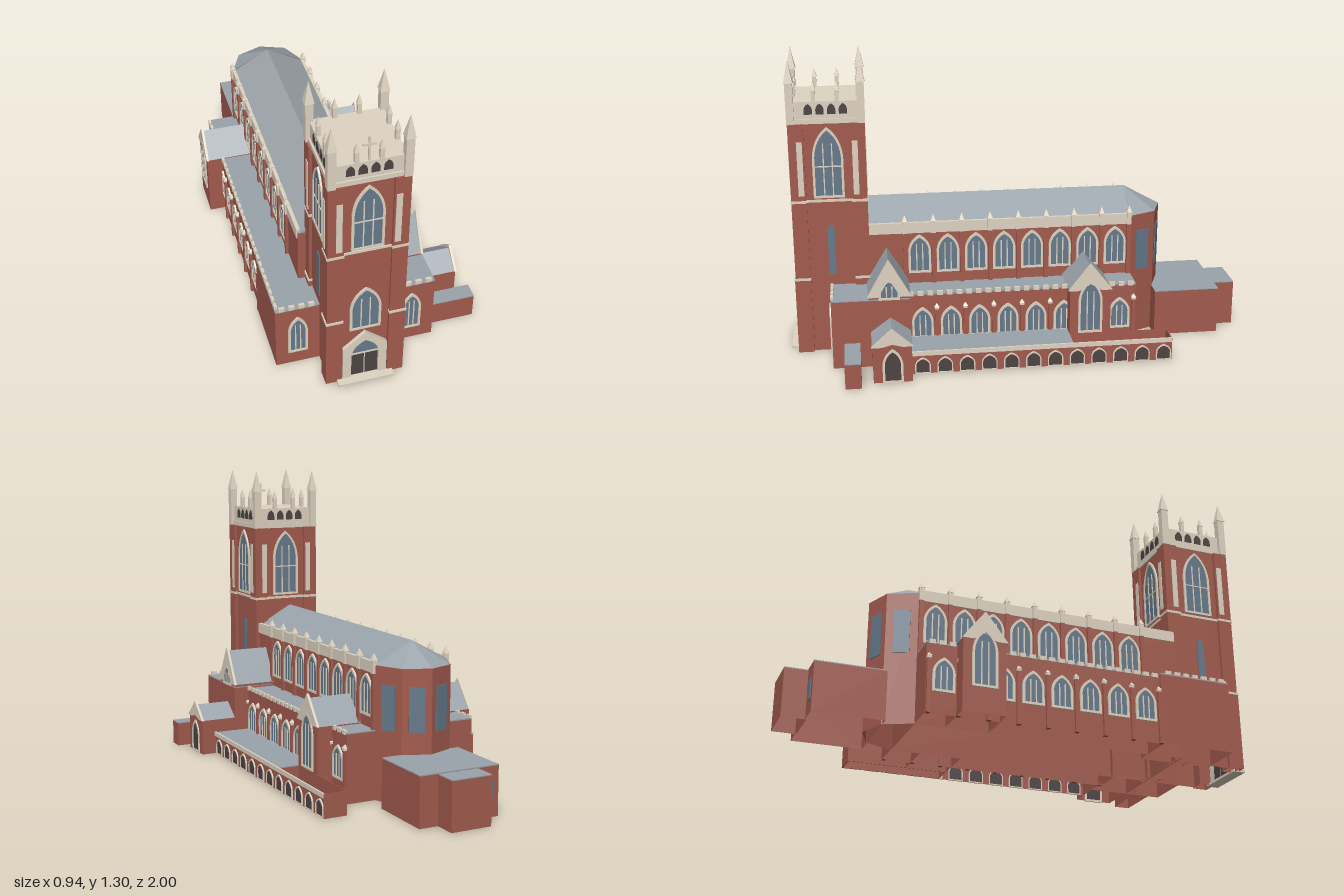
import * as THREE from 'three';

const material = (name, color) => Object.assign(new THREE.MeshStandardMaterial({ color }), { name });
const brick = material('brick', 0xa35b4e);
const stone = material('pale stone', 0xdfd4c2);
const slate = material('slate roof', 0x9ba4ab);
const glass = material('window glass', 0x667a8c);
const dark = material('dark openings', 0x4f4444);
brick.side = slate.side = THREE.DoubleSide;

function add(parent, name, geo, mat) {
  const m = new THREE.Mesh(geo, mat);
  m.name = name;
  parent.add(m);
  return m;
}
function group(parent, name, x = 0, y = 0, z = 0, rot = 0) {
  const g = new THREE.Group();
  g.name = name;
  g.position.set(x, y, z);
  g.rotation.y = rot;
  parent.add(g);
  return g;
}
// Box given by its extents
function box(parent, name, mat, x0, x1, y0, y1, z0, z1) {
  const geo = new THREE.BoxGeometry(x1 - x0, y1 - y0, z1 - z0);
  geo.translate((x0 + x1) / 2, (y0 + y1) / 2, (z0 + z1) / 2);
  return add(parent, name, geo, mat);
}
// Four hollow brick walls from the ground, open below and under the roof
function walls(parent, name, x0, x1, y1, z0, z1) {
  const geo = box(parent, name, brick, x0, x1, 0, y1, z0, z1).geometry;
  const faces = Array.from(geo.index.array);
  faces.splice(12, 12);
  geo.setIndex(faces);
  geo.clearGroups();
}
const extrude = (shape, depth) => new THREE.ExtrudeGeometry(shape, { depth, bevelEnabled: false, curveSegments: 6 });
const polygon = pts => new THREE.Shape(pts.map(p => new THREE.Vector2(...p)));
function triangles(parent, name, positions, mat) {
  const geo = new THREE.BufferGeometry();
  geo.setAttribute('position', new THREE.Float32BufferAttribute(positions, 3));
  geo.computeVertexNormals();
  add(parent, name, geo, mat);
}

// Pointed arch outline
function arch(w, y0, spring, top) {
  const s = new THREE.Shape(), a = w / 2, c = spring + (top - spring) * 0.65;
  s.moveTo(-a, y0);
  s.lineTo(a, y0);
  s.lineTo(a, spring);
  s.quadraticCurveTo(a * 0.9, c, 0, top);
  s.quadraticCurveTo(-a * 0.9, c, -a, spring);
  return s;
}
// Arched opening with stone surround and mullions; faces +z before rotation
function archWindow(parent, name, [x, y, z], rot, w, spring, h, bars = 2, fill = glass, edge = 0.01) {
  const g = group(parent, name, x, y, z, rot);
  add(g, name + ' pane', extrude(arch(w, 0, spring, h), 0.004), fill);
  const frame = arch(w + 2 * edge, -edge, spring, h + edge * 1.3);
  frame.holes.push(arch(w, 0, spring, h));
  add(g, name + ' surround', extrude(frame, 0.008), stone);
  for (let i = 1; i <= bars; i++) {
    const bx = w * (i / (bars + 1) - 0.5);
    box(g, 'mullion', stone, bx - 0.0025, bx + 0.0025, 0, spring + (h - spring) * 0.5, 0, 0.007);
  }
  return g;
}
// Square shaft with a pyramidal spirelet
function pinnacle(parent, name, x, y, z, half, shaft, spire) {
  const g = group(parent, name, x, y, z);
  box(g, 'shaft', stone, -half, half, 0, shaft, -half, half);
  const cone = new THREE.CylinderGeometry(0, half * 1.7, spire, 4).toNonIndexed();
  cone.computeVertexNormals();
  cone.rotateY(Math.PI / 4).translate(0, shaft + spire / 2, 0);
  add(g, 'spirelet', cone, stone);
}
function merlons(parent, x0, z0, x1, z1, y, n) {
  const dx = Math.abs(x1 - x0) / n * 0.3 || 0.006, dz = Math.abs(z1 - z0) / n * 0.3 || 0.006;
  for (let i = 0; i < n; i++) {
    const t = (i + 0.5) / n, x = x0 + (x1 - x0) * t, z = z0 + (z1 - z0) * t;
    box(parent, 'merlon', stone, x - dx, x + dx, y, y + 0.018, z - dz, z + dz);
  }
}
// Projecting wing along +x with pitched roof and stone gable end
function gableWing(parent, name, x, z, rot, x0, x1, half, eave, ridge, drop) {
  const g = group(parent, name, x, 0, z, rot);
  walls(g, name + ' walls', x0, x1, eave, -half + 0.003, half - 0.003);
  const along = (shape, len, at, mat, label) =>
    add(g, label, extrude(shape, len).rotateY(Math.PI / 2).translate(at, 0, 0), mat);
  along(polygon([[-half, eave], [half, eave], [0, ridge]]), x1 - x0 - 0.002, x0, slate, name + ' roof');
  along(polygon([[-half * 0.97, eave], [half * 0.97, eave], [0, ridge]]), 0.002, x1 - 0.002, brick, name + ' gable wall');
  const h = half + 0.004, inner = half * 0.52;
  along(polygon([[-h, eave], [-inner, eave], [0, ridge - drop], [inner, eave], [h, eave], [0, ridge + 0.018]]),
    0.011, x1 - 0.006, stone, name + ' coping');
  return g;
}

function buildTower(root) {
  const t = group(root, 'tower', -0.076, 0, 0.805);
  walls(t, 'tower core', -0.147, 0.147, 1.03, -0.147, 0.147);
  box(t, 'tower string course', stone, -0.151, 0.151, 0.683, 0.694, -0.151, 0.151);
  box(t, 'parapet', stone, -0.145, 0.145, 1.046, 1.118, -0.145, 0.145);
  box(t, 'parapet cornice', stone, -0.152, 0.152, 1.025, 1.046, -0.152, 0.152);
  for (let k = 0; k < 4; k++) {
    const f = group(t, 'tower face', 0, 0, 0, k * Math.PI / 2);
    // Corner pier in stages
    box(f, 'corner pier', brick, 0.096, 0.16, 0.3, 1.026, 0.096, 0.16);
    walls(f, 'pier base', 0.095, 0.163, 0.336, 0.095, 0.163);
    box(f, 'pier cap', stone, 0.094, 0.165, 0.335, 0.345, 0.094, 0.165);
    box(f, 'pier band', stone, 0.094, 0.163, 0.683, 0.694, 0.094, 0.163);
    for (const s of [-1, 1]) box(f, 'pier panel', stone, s * 0.115 - 0.012, s * 0.115 + 0.012, 0.715, 0.95, 0.158, 0.163);
    pinnacle(f, 'corner pinnacle', 0.146, 1.026, 0.146, 0.016, 0.175, 0.095);
    for (const s of [-1, 1]) pinnacle(f, 'small pinnacle', s * 0.048, 1.115, 0.136, 0.0085, 0.05, 0.04);
    for (let i = 0; i < 4; i++)
      add(f, 'parapet opening', extrude(arch(0.034, 0, 0.02, 0.045), 0.003).translate((i - 1.5) * 0.048, 1.064, 0.144), dark);
    const w = archWindow(f, 'belfry window', [0, 0.712, 0.147], 0, 0.11, 0.17, 0.285);
    box(w, 'transom', stone, -0.055, 0.055, 0.125, 0.13, 0, 0.007);
    if (k % 2) box(f, 'slit window', glass, -0.015, 0.015, 0.355, 0.575, 0.145, 0.151);
  }
  // Entrance front
  archWindow(t, 'west window', [0, 0.28, 0.147], 0, 0.108, 0.11, 0.2);
  const portal = polygon([[-0.092, 0], [0.092, 0], [0.092, 0.175], [0, 0.255], [-0.092, 0.175]]);
  portal.holes.push(arch(0.114, 0.004, 0.135, 0.21));
  add(t, 'portal surround', extrude(portal, 0.017).translate(0, 0, 0.146), stone);
  add(t, 'portal light', extrude(arch(0.114, 0.13, 0.135, 0.21), 0.006).translate(0, 0, 0.146), glass);
  for (const s of [-1, 1]) box(t, 'door leaf', dark, s * 0.029 - 0.027, s * 0.029 + 0.027, 0.01, 0.128, 0.146, 0.154);
  box(t, 'door post', stone, -0.002, 0.002, 0, 0.135, 0.146, 0.155);
  box(t, 'door lintel', stone, -0.057, 0.057, 0.128, 0.135, 0.146, 0.155);
  box(t, 'doorstep', stone, -0.117, 0.117, 0, 0.011, 0.14, 0.195);
  box(t, 'cross post', stone, -0.004, 0.004, 1.11, 1.225, 0.134, 0.142);
  box(t, 'cross arm', stone, -0.025, 0.025, 1.186, 1.195, 0.134, 0.142);
}

function buildNave(root) {
  const n = group(root, 'nave', -0.1);
  walls(n, 'nave walls', -0.167, 0.167, 0.56, -0.5, 0.655);
  add(n, 'nave roof', extrude(polygon([[-0.166, 0.558], [0.166, 0.558], [0, 0.65]]), 1.16).translate(0, 0, -0.5), slate);

  // Faceted apse with a window in each facet
  const pts = [[0.168, -0.5], [0.113, -0.62], [0, -0.664], [-0.113, -0.62], [-0.168, -0.5]];
  const roof = [], sides = [];
  for (let i = 0; i < 4; i++) {
    const [[ax, az], [bx, bz]] = [pts[i], pts[i + 1]];
    roof.push(0, 0.65, -0.5, ax, 0.56, az, bx, 0.56, bz);
    sides.push(ax, 0, az, bx, 0, bz, bx, 0.56, bz, ax, 0, az, bx, 0.56, bz, ax, 0.56, az);
    const w = group(n, 'apse window', (ax + bx) / 2, 0.3, (az + bz) / 2, Math.atan2(az - bz, bx - ax) + Math.PI);
    box(w, 'apse pane', glass, -0.033, 0.033, 0, 0.185, -0.004, 0.004);
  }
  triangles(n, 'apse walls', sides, brick);
  triangles(n, 'apse roof', roof, slate);

  // Both long sides: clerestory, aisle and transept
  for (const s of [1, -1]) {
    const g = group(n, s > 0 ? 'left side' : 'right side', 0, 0, 0, s > 0 ? 0 : Math.PI);
    box(g, 'nave parapet', stone, 0.157, 0.172, 0.525, 0.572, s > 0 ? -0.5 : -0.65, s > 0 ? 0.65 : 0.5);
    walls(g, 'aisle walls', 0.16, 0.297, 0.289, -0.502, 0.502);
    box(g, 'aisle roof', slate, 0.16, 0.297, 0.288, 0.294, -0.502, 0.502);
    merlons(g, 0.296, -0.5, 0.296, 0.5, 0.286, 24);
    for (let i = 0; i < 9; i++) {
      const z = (i - 4) * 0.123;
      box(g, 'clerestory buttress', brick, 0.16, 0.179, 0.29, 0.53, z - 0.009, z + 0.009);
      pinnacle(g, 'nave pinnacle', 0.17, 0.525, z, 0.01, 0.055, 0.03);
      box(g, 'aisle buttress', brick, 0.29, 0.308, 0, 0.225, z - 0.008, z + 0.008);
      pinnacle(g, 'buttress cap', 0.3, 0.222, z, 0.009, 0.01, 0.016);
      if (i === 8) continue;
      archWindow(g, 'clerestory window', [0.167, 0.352, z + 0.0615], Math.PI / 2, 0.078, 0.095, 0.152);
      archWindow(g, 'aisle window', [0.297, 0.1, z + 0.0615], Math.PI / 2, 0.072, 0.07, 0.12);
    }
    const t = gableWing(g, 'transept', 0, -0.288 * s, 0, 0.16, 0.367, 0.092, 0.3, 0.405, 0.075);
    archWindow(t, 'transept window', [0.365, 0.115, 0], Math.PI / 2, 0.085, 0.14, 0.22);
  }
}

export function createModel() {
  const root = new THREE.Group();
  root.name = 'church';
  buildTower(root);
  buildNave(root);

  // Crenellated blocks flanking the tower
  for (const [name, x0, x1, inner, outer, win, z0] of [
    ['right front block', -0.407, -0.2, -0.237, -0.4, -0.315, 0.5],
    ['left front block', 0.05, 0.268, 0.087, 0.262, 0.17, 0.485]]) {
    const b = group(root, name);
    walls(b, 'block walls', x0, x1, 0.301, z0, 0.817);
    box(b, 'block roof', slate, x0, x1, 0.3, 0.306, z0, 0.817);
    merlons(b, inner, 0.812, outer, 0.812, 0.303, 4);
    if (outer < 0) merlons(b, outer, 0.52, outer, 0.81, 0.303, 7);
    archWindow(b, 'block window', [win, 0.075, 0.817], 0, 0.062, 0.11, 0.172);
  }
  const upper = gableWing(root, 'upper gable wing', 0, 0.572, 0, 0.04, 0.266, 0.09, 0.315, 0.465, 0.07);
  archWindow(upper, 'gable window', [0.264, 0.312, 0], Math.PI / 2, 0.07, 0.03, 0.07);

  // Side porch and low store
  const porch = gableWing(root, 'side porch', 0, 0.57, 0, 0.26, 0.43, 0.084, 0.16, 0.222, 0.05);
  archWindow(porch, 'porch door', [0.427, 0.008, 0], Math.PI / 2, 0.066, 0.075, 0.13, 0, dark);
  walls(root, 'low store', 0.26, 0.472, 0.108, 0.7, 0.768);
  box(root, 'low store roof', slate, 0.26, 0.472, 0.107, 0.112, 0.7, 0.768);

  // Arcaded cloister, with an open walled yard behind it
  walls(root, 'cloister walls', 0.19, 0.363, 0.095, -0.2, 0.488);
  box(root, 'cloister roof', slate, 0.19, 0.364, 0.094, 0.1, -0.2, 0.488);
  box(root, 'yard outer wall', brick, 0.36, 0.363, 0, 0.088, -0.628, -0.2);
  box(root, 'yard inner wall', brick, 0.265, 0.268, 0, 0.1, -0.628, -0.2);
  box(root, 'yard end wall', brick, 0.265, 0.366, 0, 0.1, -0.63, -0.626);
  box(root, 'cloister band', stone, 0.362, 0.37, 0.084, 0.103, -0.628, 0.488);
  for (let i = 0; i < 12; i++)
    archWindow(root, 'cloister arch', [0.361, 0.006, 0.443 - i * 0.0942], Math.PI / 2, 0.056, 0.035, 0.062, 0, dark, 0.005);

  // Rear annexes
  for (const [name, x0, x1, z0, z1, h] of [['rear annex', -0.258, 0.1, -0.905, -0.615, 0.21], ['end annex', -0.162, 0.017, -1, -0.9, 0.205]]) {
    walls(root, name, x0, x1, h - 0.004, z0, z1);
    box(root, name + ' roof', slate, x0, x1, h - 0.005, h, z0, z1);
  }
  box(root, 'annex window', glass, -0.23, -0.19, 0.06, 0.15, -0.908, -0.902);
  return root;
}
